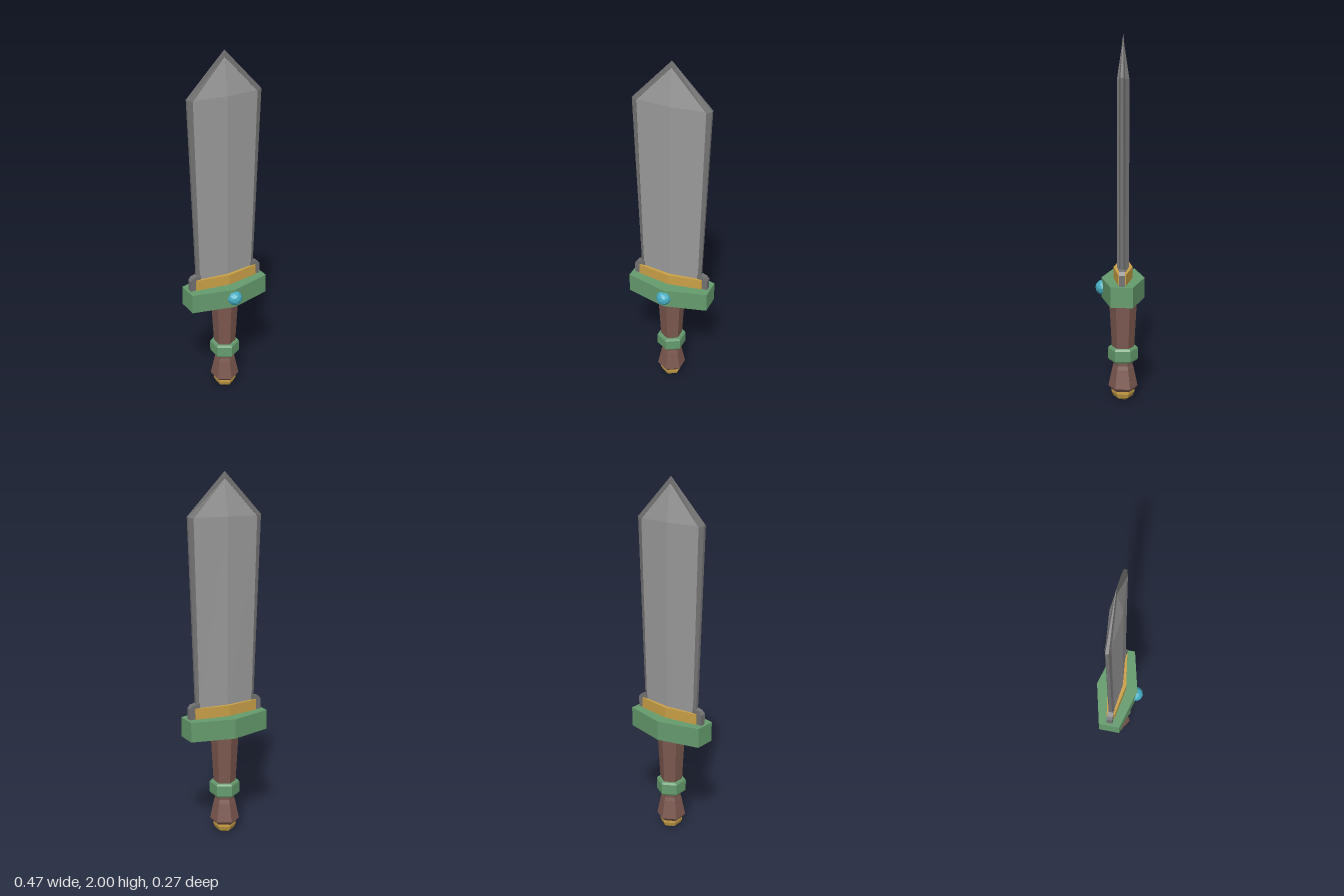
import * as THREE from 'three';

const mat = (color) => new THREE.MeshStandardMaterial({ color, flatShading: true });

// Skin a series of closed rings of [x, y, z] points, with flat end caps.
function loft(rings) {
  const pos = [];
  const tri = (a, b, c) => pos.push(...a, ...b, ...c);
  const n = rings[0].length;
  for (let i = 0; i < rings.length - 1; i++) {
    for (let j = 0; j < n; j++) {
      const k = (j + 1) % n;
      const [lo, hi] = [rings[i], rings[i + 1]];
      tri(lo[j], lo[k], hi[k]);
      tri(lo[j], hi[k], hi[j]);
    }
  }
  const first = rings[0], last = rings[rings.length - 1];
  for (let j = 1; j < n - 1; j++) {
    tri(first[0], first[j + 1], first[j]);
    tri(last[0], last[j], last[j + 1]);
  }
  const geo = new THREE.BufferGeometry();
  geo.setAttribute('position', new THREE.Float32BufferAttribute(pos, 3));
  geo.computeVertexNormals();
  return geo;
}

// Six-sided ring: half width w, half depth at the middle and at the ends.
const hexRing = (y, w, mid, end) => [
  [0, y, mid], [w, y, end], [w, y, -end], [0, y, -mid], [-w, y, -end], [-w, y, end],
];

// Hexagonal turned part with a corner facing the front.
const turned = (profile) =>
  new THREE.LatheGeometry(profile.map(([r, y]) => new THREE.Vector2(r, y)), 6);

export function createModel() {
  const sword = new THREE.Group();
  sword.name = 'sword';
  const body = new THREE.Group();
  body.name = 'swordBody';
  body.position.z = -0.018;
  sword.add(body);

  const steel = mat(0x9a9a9a), darkSteel = mat(0x727272);
  const green = mat(0x659b6d), gold = mat(0xc9a047);
  const brown = mat(0x7b584f), teal = mat(0x45acc2);

  const add = (name, geometry, material) => {
    const mesh = new THREE.Mesh(geometry, material);
    mesh.name = name;
    body.add(mesh);
    return mesh;
  };

  // Blade core with a central ridge and pointed tip
  add('bladeCore', loft([
    hexRing(0.7, 0.168, 0.033, 0.013),
    hexRing(1.77, 0.192, 0.033, 0.013),
    hexRing(1.972, 0.001, 0.003, 0.002),
  ]), steel);

  // Bevelled cutting edge running up one side, over the tip and down the other
  const edgeRing = ([xi, yi, di, xo, yo, dout]) => [
    [xo, yo, dout], [xi, yi, di], [xi, yi, -di], [xo, yo, -dout],
  ];
  const side = [
    [0.163, 0.7, 0.016, 0.178, 0.7, 0.008],
    [0.19, 1.765, 0.016, 0.217, 1.775, 0.008],
  ];
  const mirrored = side.map(([xi, yi, di, xo, yo, d]) => [-xi, yi, di, -xo, yo, d]);
  add('bladeEdge', loft([
    ...mirrored, [0, 1.965, 0.005, 0, 2, 0.001], ...side.slice().reverse(),
  ].map(edgeRing)), darkSteel);

  // Small lugs at the base of the blade
  for (const s of [-1, 1]) {
    const shape = new THREE.Shape([
      [0.16, 0.69], [0.221, 0.69], [0.221, 0.755], [0.208, 0.772], [0.18, 0.78], [0.16, 0.78],
    ].map(([x, y]) => new THREE.Vector2(s * x, y)));
    const lug = new THREE.ExtrudeGeometry(shape, { depth: 0.032, bevelEnabled: false });
    lug.translate(0, 0, -0.016);
    add(s > 0 ? 'leftLug' : 'rightLug', lug, darkSteel);
  }

  // Collar and crossguard
  add('collar', loft([0.69, 0.755].map((y) => hexRing(y, 0.19, 0.053, 0.022))), gold);
  add('guard', loft([0.585, 0.695].map((y) => hexRing(y, 0.237, 0.119, 0.059))), green);

  // Faceted gem on the front of the guard
  const gem = add('gem', new THREE.IcosahedronGeometry(0.043, 1), teal);
  gem.position.set(0, 0.64, 0.11);

  // Grip, flaring into the pommel
  add('grip', turned([
    [0, 0.05], [0.064, 0.055], [0.082, 0.075], [0.06, 0.18],
    [0.054, 0.2], [0.054, 0.23], [0.062, 0.3], [0.078, 0.59], [0, 0.59],
  ]), brown);
  add('gripRing', turned([
    [0.05, 0.225], [0.077, 0.225], [0.084, 0.235], [0.084, 0.293], [0.077, 0.304], [0.05, 0.304],
  ]), green);
  add('pommelCap', turned([
    [0, 0], [0.032, 0.003], [0.054, 0.017], [0.064, 0.04], [0.064, 0.06], [0, 0.06],
  ]), gold);

  return sword;
}
